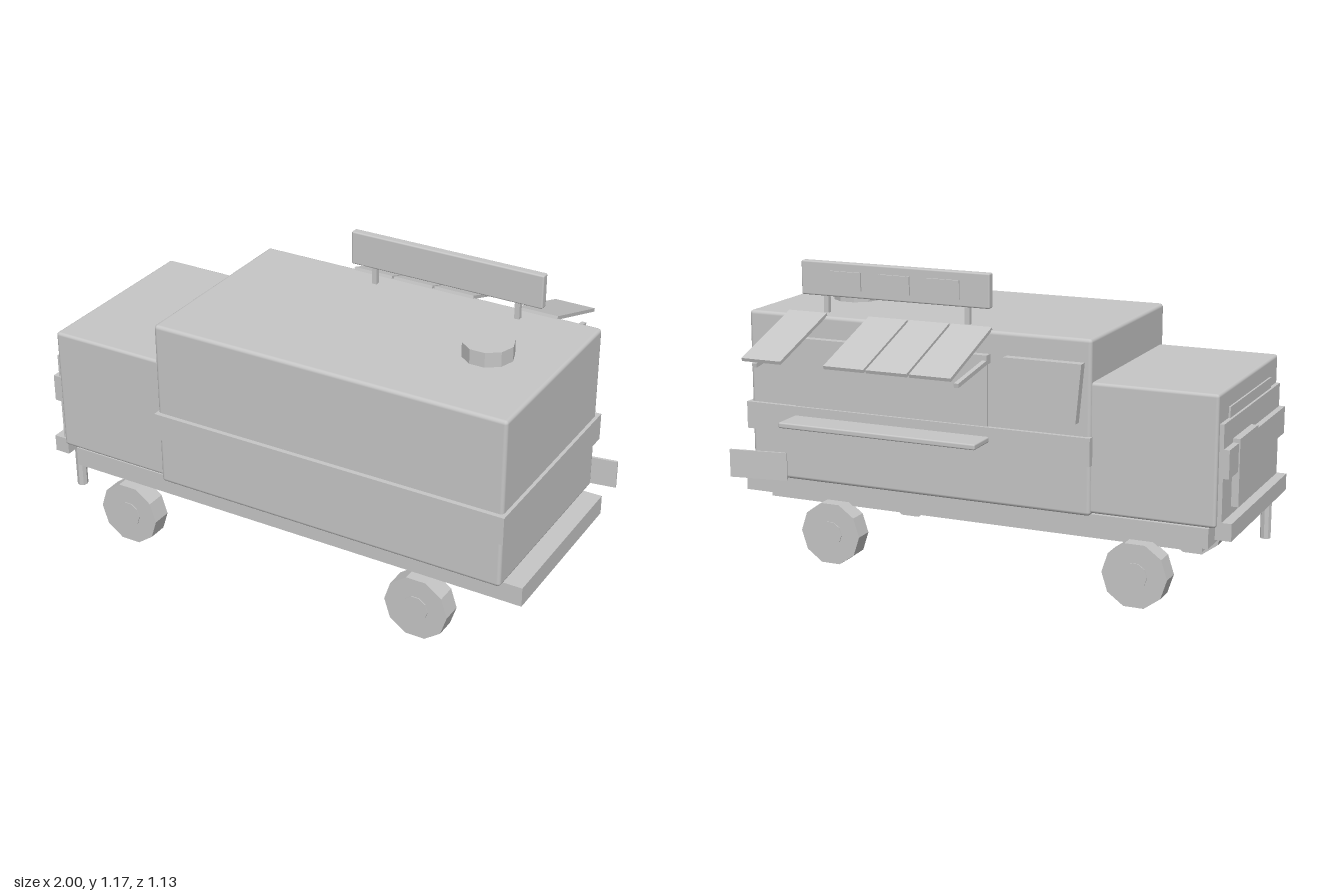
import * as THREE from 'three';
import { RoundedBoxGeometry } from 'three/addons/geometries/RoundedBoxGeometry.js';

export function createModel() {
  const truck = new THREE.Group();
  truck.name = 'foodTruck';
  const grey = new THREE.MeshStandardMaterial({ color: 0xc6c6c6 });
  grey.name = 'plainGrey';

  function add(name, geometry, x = 0, y = 0, z = 0) {
    const mesh = new THREE.Mesh(geometry, grey);
    mesh.name = name;
    mesh.position.set(x, y, z);
    truck.add(mesh);
    return mesh;
  }

  // Box given by its limits on each axis; a radius rounds its edges
  function box(name, [x0, x1], [y0, y1], [z0, z1], radius = 0) {
    const size = [x1 - x0, y1 - y0, z1 - z0];
    const geometry = radius ? new RoundedBoxGeometry(...size, 2, radius) : new THREE.BoxGeometry(...size);
    return add(name, geometry, (x0 + x1) / 2, (y0 + y1) / 2, (z0 + z1) / 2);
  }

  // Thin board sloping from one (z, y) point to another
  function slopedBoard(name, [x0, x1], [z0, y0], [z1, y1], thickness) {
    const board = add(name, new THREE.BoxGeometry(x1 - x0, thickness, Math.hypot(z1 - z0, y1 - y0)),
      (x0 + x1) / 2, (y0 + y1) / 2, (z0 + z1) / 2);
    board.rotation.x = Math.atan2(y1 - y0, z0 - z1);
    return board;
  }

  // Flat-sided cylinder with a corner pointing along x
  function drum(radius, height, sides) {
    const geometry = new THREE.CylinderGeometry(radius, radius, height, sides).rotateY(Math.PI / 2).toNonIndexed();
    geometry.computeVertexNormals();
    return geometry;
  }

  // Body, cab and belt band
  box('kitchenBody', [-0.48, 0.915], [0.325, 0.975], [-0.23, 0.55], 0.014);
  box('cab', [-0.947, -0.47], [0.335, 0.818], [-0.22, 0.527], 0.012);
  box('beltBand', [-0.484, 0.928], [0.515, 0.62], [-0.247, 0.568]);

  // Chassis
  box('chassis', [-0.91, 0.98], [0.245, 0.32], [-0.18, 0.505]);
  box('leftRail', [-0.88, 0.885], [0.222, 0.246], [0.437, 0.474]);
  box('rightRail', [-0.88, 0.885], [0.222, 0.246], [-0.152, -0.115]);
  box('frontBumper', [-1, -0.94], [0.29, 0.355], [-0.2, 0.518]);
  add('supportLeg', drum(0.021, 0.17, 8), -0.948, 0.2, 0.438);

  // Nose of the cab
  box('nosePanel', [-0.963, -0.94], [0.34, 0.71], [-0.2, 0.51]);
  box('windshield', [-0.954, -0.945], [0.64, 0.75], [-0.1, 0.42]);
  box('noseBand', [-0.985, -0.94], [0.515, 0.62], [-0.2, 0.515]);
  box('grille', [-0.99, -0.94], [0.385, 0.635], [-0.09, 0.135]);

  // Wheels and hub caps
  for (const x of [-0.65, 0.59]) {
    for (const [z, side] of [[0.503, 1], [-0.182, -1]]) {
      const wheel = add('wheel', drum(0.125, 0.077, 10).rotateX(Math.PI / 2), x, 0.122, z);
      const hub = new THREE.Mesh(drum(0.05, 0.01, 10).rotateX(Math.PI / 2), grey);
      hub.name = 'hubCap';
      hub.position.z = side * 0.037;
      wheel.add(hub);
    }
  }

  // Roof vent
  add('roofVent', drum(0.094, 0.06, 10), 0.655, 1.001, 0.16);

  // Roof sign with plain panels on the serving side
  box('signBoard', [-0.058, 0.72], [1.04, 1.17], [-0.167, -0.134], 0.006);
  for (const x of [0.035, 0.62]) {
    box('signPost', [x - 0.01, x + 0.01], [0.97, 1.045], [-0.159, -0.141]);
  }
  for (const x of [0.125, 0.328, 0.53]) {
    box('signPanel', [x - 0.065, x + 0.065], [1.068, 1.138], [-0.175, -0.166]);
  }

  // Serving hatch with counter and awning
  box('servingHatch', [-0.08, 0.72], [0.6, 0.86], [-0.236, -0.229]);
  box('counter', [-0.09, 0.72], [0.563, 0.585], [-0.37, -0.235], 0.006);
  box('awningRail', [-0.09, 0.745], [0.856, 0.89], [-0.262, -0.228]);
  for (const x of [-0.08, 0.735]) {
    slopedBoard('awningArm', [x - 0.009, x + 0.009], [-0.245, 0.865], [-0.5, 0.828], 0.016);
  }
  for (const x of [-0.09, 0.08, 0.25, 0.587]) {
    slopedBoard('awningSlat', [x, x + 0.161], [-0.213, 0.98], [-0.564, 0.862], 0.013);
  }

  // Side window, narrowing slightly towards its foot
  const pane = new THREE.Shape([[-0.455, 0.89], [-0.435, 0.67], [-0.17, 0.67], [-0.155, 0.89]]
    .map(([x, y]) => new THREE.Vector2(x, y)));
  add('sideWindow', new THREE.ExtrudeGeometry(pane, { depth: 0.035, bevelEnabled: false }), 0, 0, -0.264);

  // Rear flap swung out at the corner
  const flap = add('rearFlap', new THREE.BoxGeometry(0.235, 0.11, 0.01), 0.883, 0.372, -0.249);
  flap.rotation.y = 0.16;

  return truck;
}
